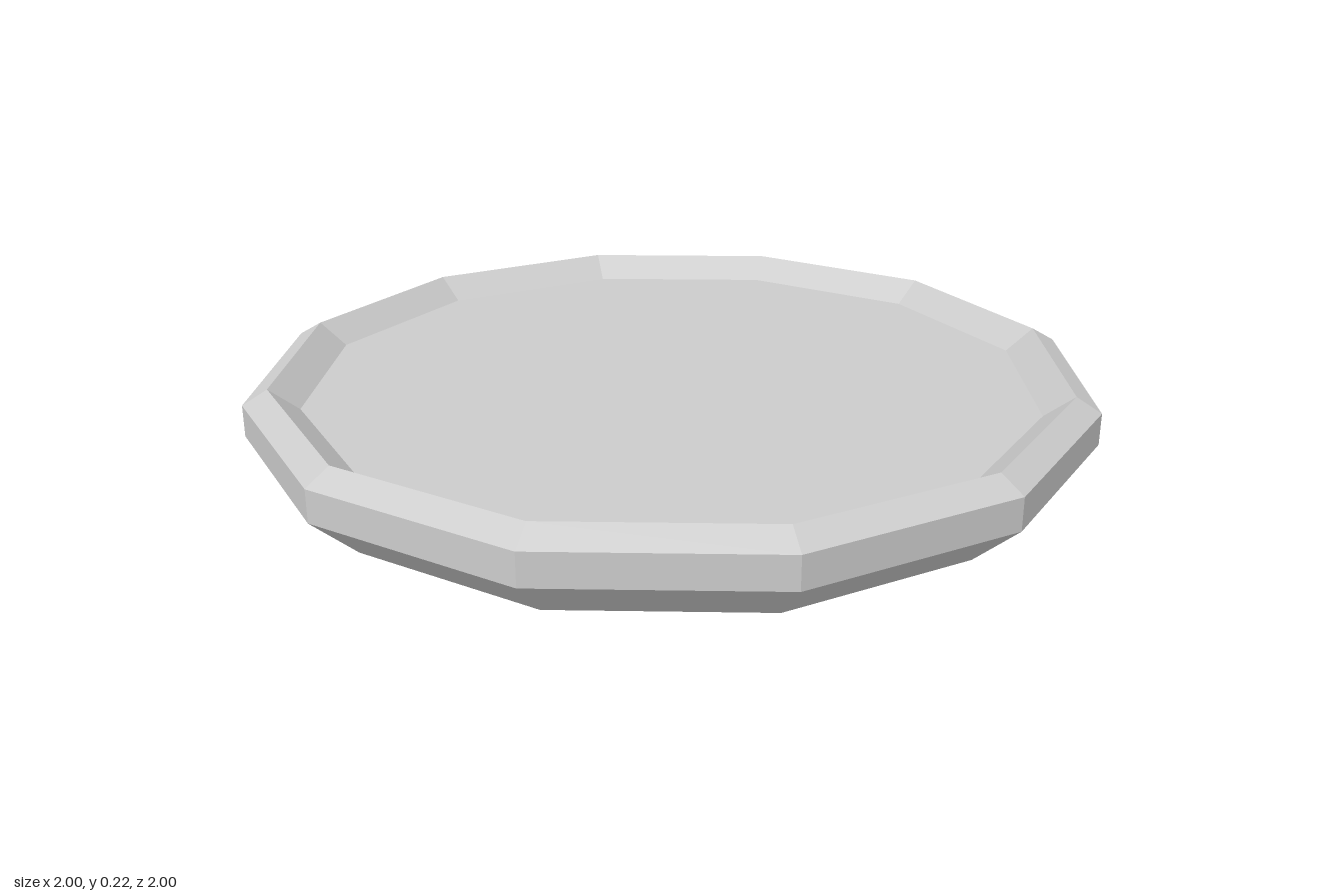
import * as THREE from 'three';

const SIDES = 12;

// Twelve-sided ring or disc turned from [radius, height] points
function turned(name, points, material) {
  const profile = points.map(([r, y]) => new THREE.Vector2(r, y));
  const mesh = new THREE.Mesh(new THREE.LatheGeometry(profile, SIDES), material);
  mesh.name = name;
  return mesh;
}

export function createModel() {
  const group = new THREE.Group();
  group.name = 'plate';
  const material = new THREE.MeshStandardMaterial({ color: 0xcccccc, flatShading: true });

  // Recessed underside and the foot it stands on
  group.add(turned('foot', [[0, 0.045], [0.76, 0.045], [0.825, 0], [0.89, 0.012]], material));

  // Flared outer wall, bevelled rim and inner slope
  group.add(turned('rim', [[0.89, 0.012], [1, 0.115], [1, 0.19], [0.942, 0.224], [0.873, 0.17]], material));

  // Flat upper surface
  group.add(turned('plateFloor', [[0.873, 0.17], [0, 0.17]], material));

  return group;
}
